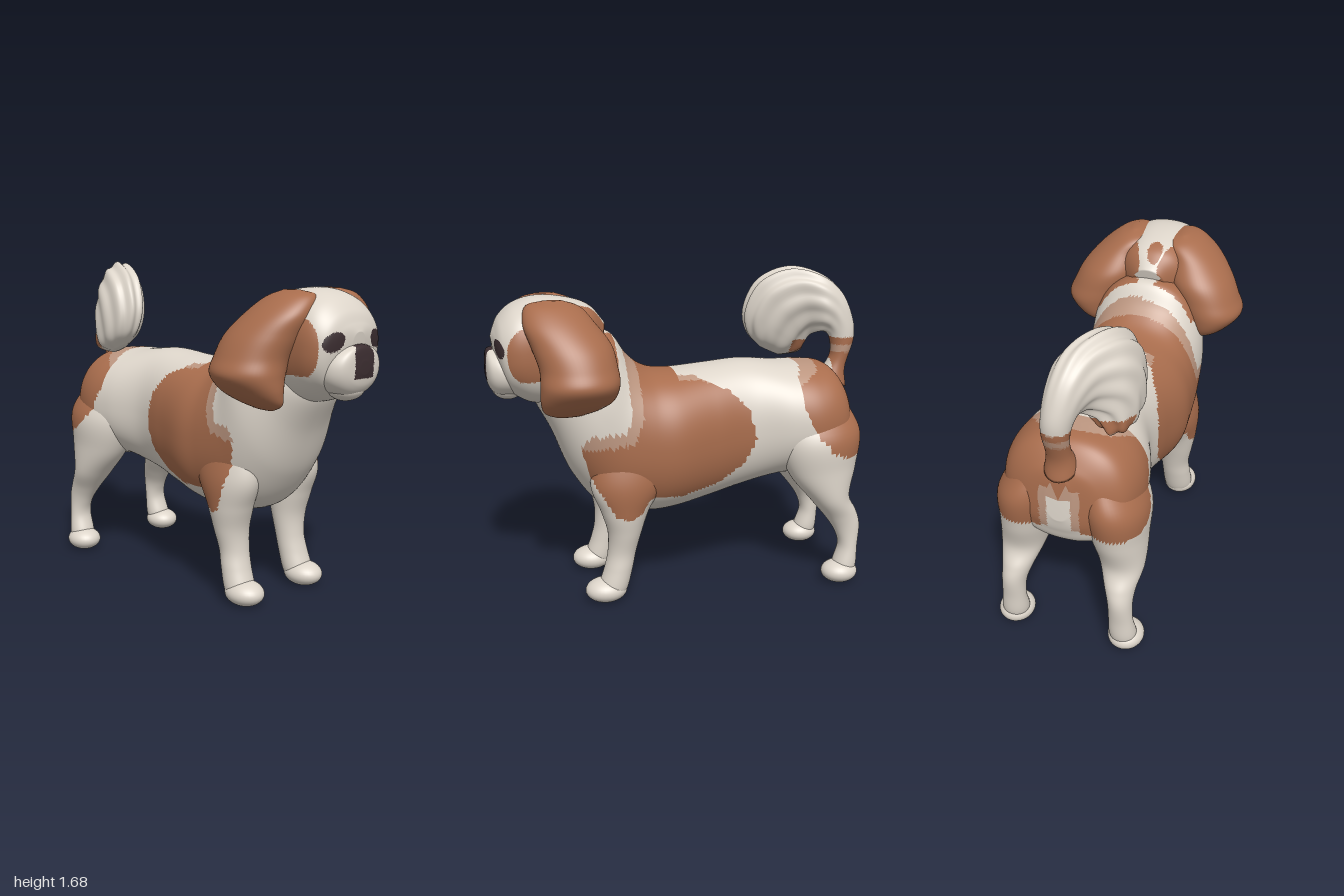
import * as THREE from 'three';

const mat = (name, color) => Object.assign(new THREE.MeshStandardMaterial({ color }), { name });
const CREAM = 0, TAN = 1, BROWN = 2, DARK = 3;

// Coat patches as side outlines [z, y]
const saddle = [[.25, 1.45], [.25, 1], [.3, .88], [.4, .86], [.56, .85], [.52, .7], [.45, .58], [.4, .49], [.32, .47],
  [.26, .5], [.22, .57], [.05, .56], [-.15, .6], [-.3, .7], [-.36, .84], [-.32, 1], [-.22, 1.1], [-.08, 1.15],
  [.03, 1.15], [.04, 1.45]];
const saddleEdge = [[.32, 1.45], [.31, 1], [.35, .93], [.52, .92], [.57, .85], [.2, .8], [0, 1], [-.2, 1.1],
  [-.05, 1.17], [.07, 1.17], [.08, 1.45]];
const rump = [[-.6, 1], [-.6, 1.1], [-.65, 1.13], [-.72, 1.16], [-.82, 1.25], [-1.1, 1.25], [-1.1, .72], [-.85, .72],
  [-.75, .76], [-.67, .85]];
const rumpEdge = [[-.6, 1.05], [-.6, 1.14], [-.7, 1.25], [-.9, 1.25], [-.8, 1.05]];

function inside(outline, z, y) {
  let hit = false;
  outline.forEach(([az, ay], i) => {
    const [bz, by] = outline[(i + 1) % outline.length];
    if ((ay > y) !== (by > y) && z < az + (bz - az) * (y - ay) / (by - ay)) hit = !hit;
  });
  return hit;
}

// Coat colour at a point of the body, legs or head
function coat(x, y, z) {
  const ax = Math.abs(x);
  if (z > .36 && y > 1.12) {
    const eye = ((ax - .145) / .055) ** 2 + ((y - 1.36 - (.145 - ax) * .2) / .045) ** 2 < 1;
    if (z > .8 && eye) return DARK;
    if (((x + .02) / .04) ** 2 + ((z - .47) / .055) ** 2 < 1 && y > 1.4) return BROWN;
    const blaze = THREE.MathUtils.clamp(.05 + (z - .42) * .42, .05, .21);
    return ax > blaze && z < .9 && y > 1.2 ? BROWN : CREAM;
  }
  if (z < -.8 && ax < .1 && y < .97) return ax < .06 && y < .92 ? CREAM : y > .74 ? TAN : CREAM;
  if (inside(rump, z, y)) return BROWN;
  if (inside(rumpEdge, z, y)) return TAN;
  // The patch on the right side is a little shorter at both ends
  const s = x > 0 ? z : z < 0 ? z * 1.4 : z > .3 ? .3 + (z - .3) * 1.8 : z;
  if ((z > .35 && ax < .22) || (y < .6 && ax < .19)) return CREAM;
  return inside(saddle, s, y) ? BROWN : inside(saddleEdge, s, y) ? TAN : CREAM;
}

// Tail colour: banded root, cream plume
function tailCoat(x, y, z) {
  if (z < -.86 && y < 1.31) return y > 1.23 && y < 1.27 ? TAN : BROWN;
  if (z > -.82 && z < -.68 && y < 1.28) return y < 1.21 ? TAN : BROWN;
  return CREAM;
}

// Nose leather, tapering to the top
const muzzleCoat = (x, y, z) =>
  z > .9 && y > 1.19 && y < 1.36 && Math.abs(x) < Math.min(.066, .03 + (1.36 - y) * .7) ? DARK : CREAM;

const earCoat = (x, y, z) =>
  (Math.abs(x) < .25 && y < 1.17) || (z < .48 && y < 1.1) ? TAN : BROWN;

// Sort triangles into one geometry group per colour
function paint(geo, rule) {
  const p = geo.attributes.position, idx = geo.index.array, bins = [[], [], [], []];
  for (let i = 0; i < idx.length; i += 3) {
    const t = [idx[i], idx[i + 1], idx[i + 2]];
    const mean = (get) => t.reduce((s, k) => s + p[get](k), 0) / 3;
    bins[rule(mean('getX'), mean('getY'), mean('getZ'))].push(...t);
  }
  geo.setIndex(bins.flat());
  let start = 0;
  bins.forEach((b, m) => {
    if (b.length) geo.addGroup(start, b.length, m);
    start += b.length;
  });
  return geo;
}

// Skin over cross-sections [edgeA z, edgeA y, edgeB z, edgeB y, centre x, half width]
function loft(sections, rule, { side = 1, power = 2, rows = 60, cols = 56, fur = 0 } = {}) {
  const curve = (fn) => new THREE.CatmullRomCurve3(sections.map(fn), false, 'catmullrom', .5);
  const edgeA = curve((s) => new THREE.Vector3(s[4] * side, s[1], s[0]));
  const edgeB = curve((s) => new THREE.Vector3(s[4] * side, s[3], s[2]));
  const width = curve((s) => new THREE.Vector3(s[5], 0, 0));
  const pos = [], idx = [];
  const round = (v) => Math.sign(v) * Math.abs(v) ** (2 / power);
  for (let r = 0; r <= rows; r++) {
    const f = r / rows, a = edgeA.getPoint(f), b = edgeB.getPoint(f);
    const w = Math.max(.002, width.getPoint(f).x);
    const mid = a.clone().add(b).multiplyScalar(.5), half = a.clone().sub(mid);
    for (let c = 0; c < cols; c++) {
      const t = c / cols * Math.PI * 2;
      const k = 1 + fur * Math.sin(t * 11 + f * 6) * THREE.MathUtils.clamp((f - .3) * 4, 0, 1);
      const u = round(Math.cos(t)) * k;
      pos.push(mid.x + round(Math.sin(t)) * w * k, mid.y + half.y * u, mid.z + half.z * u);
      const d = (c + 1) % cols, i = r * cols;
      if (r < rows) idx.push(i + c, i + d, i + cols + c, i + d, i + cols + d, i + cols + c);
    }
  }
  // End caps
  for (const r of [0, rows]) {
    const mid = edgeA.getPoint(r / rows).add(edgeB.getPoint(r / rows)).multiplyScalar(.5);
    const centre = pos.length / 3;
    pos.push(mid.x, mid.y, mid.z);
    for (let c = 0; c < cols; c++) {
      const i = r * cols + c, j = r * cols + (c + 1) % cols;
      idx.push(centre, ...(r ? [i, j] : [j, i]));
    }
  }
  // Turn the faces outward if the enclosed volume is negative
  const v = (k) => new THREE.Vector3().fromArray(pos, k * 3);
  let volume = 0;
  for (let i = 0; i < idx.length; i += 3) volume += v(idx[i]).dot(v(idx[i + 1]).cross(v(idx[i + 2])));
  if (volume < 0) idx.reverse();
  const geo = new THREE.BufferGeometry();
  geo.setAttribute('position', new THREE.Float32BufferAttribute(pos, 3));
  geo.setIndex(idx);
  geo.computeVertexNormals();
  return paint(geo, rule);
}

// Ellipsoid with a flat sole at y = 0
function pad(x, y, z, rx, ry, rz) {
  const geo = new THREE.SphereGeometry(1, 32, 20).scale(rx, ry, rz).translate(x, y, z);
  const p = geo.attributes.position;
  for (let i = 0; i < p.count; i++) p.setY(i, Math.max(0, p.getY(i)));
  return geo;
}

export function createModel() {
  const dog = new THREE.Group();
  dog.name = 'dog';
  const coats = [mat('cream', 0xddd5ca), mat('tan', 0xbc9680), mat('brown', 0xa96d4d), mat('dark', 0x3b2d30)];
  const add = (name, geo, material = coats) => {
    const mesh = new THREE.Mesh(geo, material);
    mesh.name = name;
    dog.add(mesh);
  };

  // Body from rump to neck
  add('torso', loft([
    [-.93, 1.02, -.95, .8, 0, .06], [-.9, 1.08, -.93, .72, 0, .2], [-.82, 1.17, -.88, .63, 0, .3],
    [-.7, 1.19, -.72, .57, 0, .345], [-.55, 1.195, -.55, .58, 0, .325], [-.35, 1.215, -.35, .53, 0, .265],
    [-.15, 1.2, -.15, .48, 0, .29], [.05, 1.185, .05, .44, 0, .335], [.18, 1.205, .2, .43, 0, .33],
    [.28, 1.28, .42, .47, 0, .32], [.36, 1.39, .58, .66, 0, .31], [.45, 1.4, .68, .9, 0, .26],
    [.53, 1.4, .76, 1.06, 0, .2], [.6, 1.35, .78, 1.15, 0, .1],
  ], coat, { power: 2.25, rows: 130, cols: 110 }));

  // Head, muzzle and chin
  add('head', loft([
    [.39, 1.45, .48, 1.17, 0, .1], [.47, 1.54, .58, 1.07, 0, .2], [.6, 1.583, .69, 1.05, 0, .23],
    [.74, 1.592, .78, 1.06, 0, .24], [.85, 1.56, .84, 1.09, 0, .235], [.92, 1.5, .89, 1.13, 0, .205],
    [.95, 1.44, .92, 1.2, 0, .15], [.965, 1.4, .95, 1.28, 0, .04],
  ], coat, { power: 2.3, rows: 100, cols: 120 }));
  add('muzzle', loft([
    [.8, 1.33, .8, 1.1, 0, .15], [.9, 1.345, .89, 1.1, 0, .167], [.96, 1.345, .95, 1.11, 0, .15],
    [.99, 1.33, .985, 1.15, 0, .11], [1, 1.27, 1, 1.21, 0, .03],
  ], muzzleCoat, { power: 2.1, rows: 50, cols: 80 }));
  add('chin', pad(0, 1.135, .89, .1, .06, .08), coats[CREAM]);

  // Curled plume tail, leaning to the right
  add('tail', loft([
    [-.96, 1.03, -.8, 1.1, 0, .08], [-.95, 1.14, -.86, 1.19, 0, .06], [-.995, 1.3, -.87, 1.25, 0, .065],
    [-.985, 1.42, -.86, 1.31, -.01, .075], [-.92, 1.56, -.84, 1.33, -.03, .09], [-.8, 1.65, -.81, 1.33, -.06, .11],
    [-.65, 1.675, -.78, 1.3, -.13, .125], [-.5, 1.6, -.77, 1.25, -.17, .125], [-.43, 1.45, -.76, 1.21, -.19, .11],
    [-.45, 1.32, -.72, 1.19, -.2, .085], [-.53, 1.23, -.64, 1.18, -.2, .03],
  ], tailCoat, { fur: .045, rows: 80, cols: 88 }));

  for (const side of [1, -1]) {
    const label = side > 0 ? 'left' : 'right';
    add(label + 'Ear', loft([
      [.72, 1.585, .62, 1.585, .14, .02], [.8, 1.56, .53, 1.55, .14, .1], [.82, 1.48, .47, 1.48, .2, .135],
      [.79, 1.38, .4, 1.38, .25, .17], [.76, 1.28, .38, 1.28, .3, .17], [.76, 1.2, .375, 1.2, .33, .165],
      [.76, 1.12, .4, 1.12, .315, .115], [.74, 1.06, .46, 1.07, .285, .07], [.68, 1.03, .55, 1.035, .27, .02],
    ], earCoat, { side }));
    add(label + 'FrontLeg', loft([
      [.48, .85, .12, .85, .2, .08], [.515, .65, .13, .65, .215, .115], [.465, .5, .21, .5, .215, .11],
      [.43, .38, .25, .38, .21, .095], [.43, .27, .28, .27, .205, .08], [.45, .18, .3, .18, .21, .08],
      [.48, .09, .33, .07, .215, .08], [.48, .04, .36, .03, .215, .06],
    ], coat, { side }));
    add(label + 'FrontPaw', pad(side * .218, .06, .445, .093, .065, .11), coats[CREAM]);
    add(label + 'HindLeg', loft([
      [-.52, 1, -.9, .98, .17, .1], [-.5, .8, -.955, .84, .215, .158], [-.56, .62, -.93, .66, .235, .14],
      [-.68, .47, -.89, .5, .26, .112], [-.77, .36, -.935, .4, .27, .078], [-.82, .28, -.955, .32, .28, .062],
      [-.84, .2, -.945, .2, .285, .062], [-.81, .1, -.94, .1, .29, .07], [-.81, .04, -.92, .03, .295, .06],
    ], coat, { side }));
    add(label + 'HindPaw', pad(side * .298, .055, -.845, .092, .062, .1), coats[CREAM]);
  }
  return dog;
}
